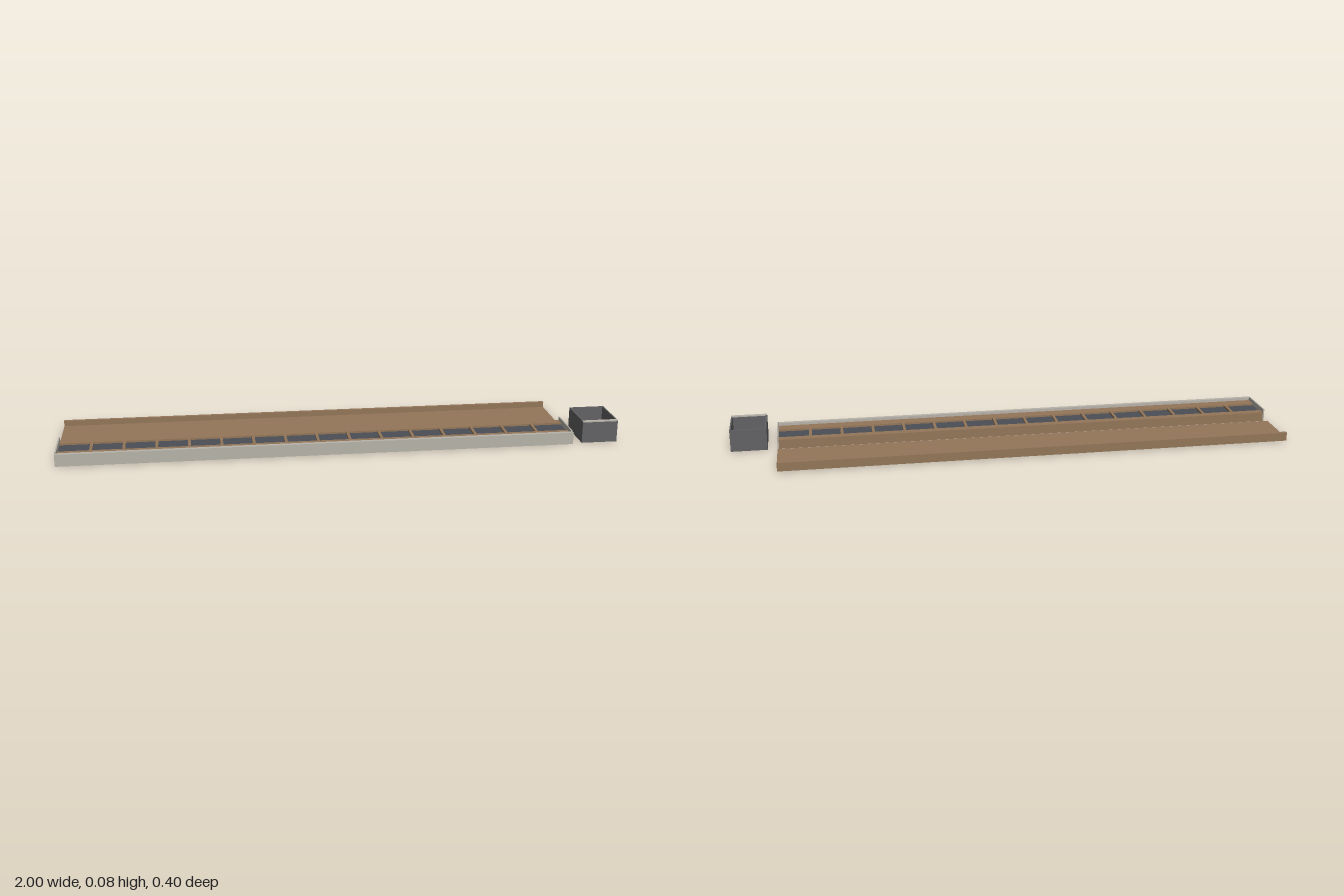
import * as THREE from 'three';

const material = (color) => new THREE.MeshStandardMaterial({ color });

export function createModel() {
  const model = new THREE.Group();
  const wood = material(0x937659);
  const slate = material(0x4b4f56);
  const pale = material(0xb7b3aa);
  const dark = material(0x626264);

  // Box given by its min and max corners
  function block(name, mat, [x0, y0, z0], [x1, y1, z1], parent = model) {
    const mesh = new THREE.Mesh(new THREE.BoxGeometry(x1 - x0, y1 - y0, z1 - z0), mat);
    mesh.position.set((x0 + x1) / 2, (y0 + y1) / 2, (z0 + z1) / 2);
    mesh.name = name;
    parent.add(mesh);
    return mesh;
  }
  function part(name) {
    const group = new THREE.Group();
    group.name = name;
    model.add(group);
    return group;
  }

  const L = -1, R = 0.835;

  // Rear shelf: flat board with an upright lip along the back
  const shelf = part('rearShelf');
  block('shelfBoard', wood, [L, 0.002, -0.186], [R, 0.013, -0.007], shelf);
  block('shelfBackLip', wood, [L, 0.002, -0.198], [R, 0.033, -0.186], shelf);

  // Front tray: base, two rails, and dividers between shallow pockets
  const tray = part('frontTray');
  const top = 0.034, floor = 0.027, zBack = 0.06, zFront = 0.14;
  const x0 = L + 0.005, x1 = R - 0.005;
  block('trayBase', wood, [x0, 0, 0.03], [x1, 0.022, 0.184], tray);
  block('backRail', wood, [x0, 0.022, 0.03], [x1, top, zBack], tray);
  block('frontRail', wood, [x0, 0.022, zFront], [x1, top, 0.184], tray);

  const cells = 16, pitch = (x1 - x0) / cells, half = 0.005;
  for (let i = 0; i < cells; i++) {
    const a = x0 + i * pitch;
    block('pocketPanel', slate, [a, 0.022, zBack], [a + pitch, floor, zFront], tray);
    if (i > 0) block('divider', wood, [a - half, 0.022, zBack], [a + half, top, zFront], tray);
  }

  // Pale fascia along the front and thin plates closing both ends
  block('frontFascia', pale, [L, 0, 0.184], [R, 0.044, 0.199], tray);
  block('rightEndPlate', pale, [L, 0, 0.03], [x0, 0.047, 0.184], tray);
  block('leftEndPlate', pale, [x1, 0, 0.03], [R, 0.047, 0.184], tray);

  // Open bin beside the tray
  const bin = part('openBin');
  const b0 = 0.87, b1 = 1, c0 = 0.028, c1 = 0.19, h = 0.081, t = 0.005;
  block('binFloor', dark, [b0, 0, c0], [b1, t, c1], bin);
  block('binBackWall', dark, [b0, t, c0], [b1, h, c0 + t], bin);
  block('binFrontWall', dark, [b0, t, c1 - t], [b1, h, c1], bin);
  block('binRightWall', dark, [b0, t, c0 + t], [b0 + t, h, c1 - t], bin);
  block('binLeftWall', dark, [b1 - t, t, c0 + t], [b1, h, c1 - t], bin);
  block('binRimStrip', pale, [b0, 0.078, 0.179], [b1, 0.082, 0.192], bin);

  return model;
}
